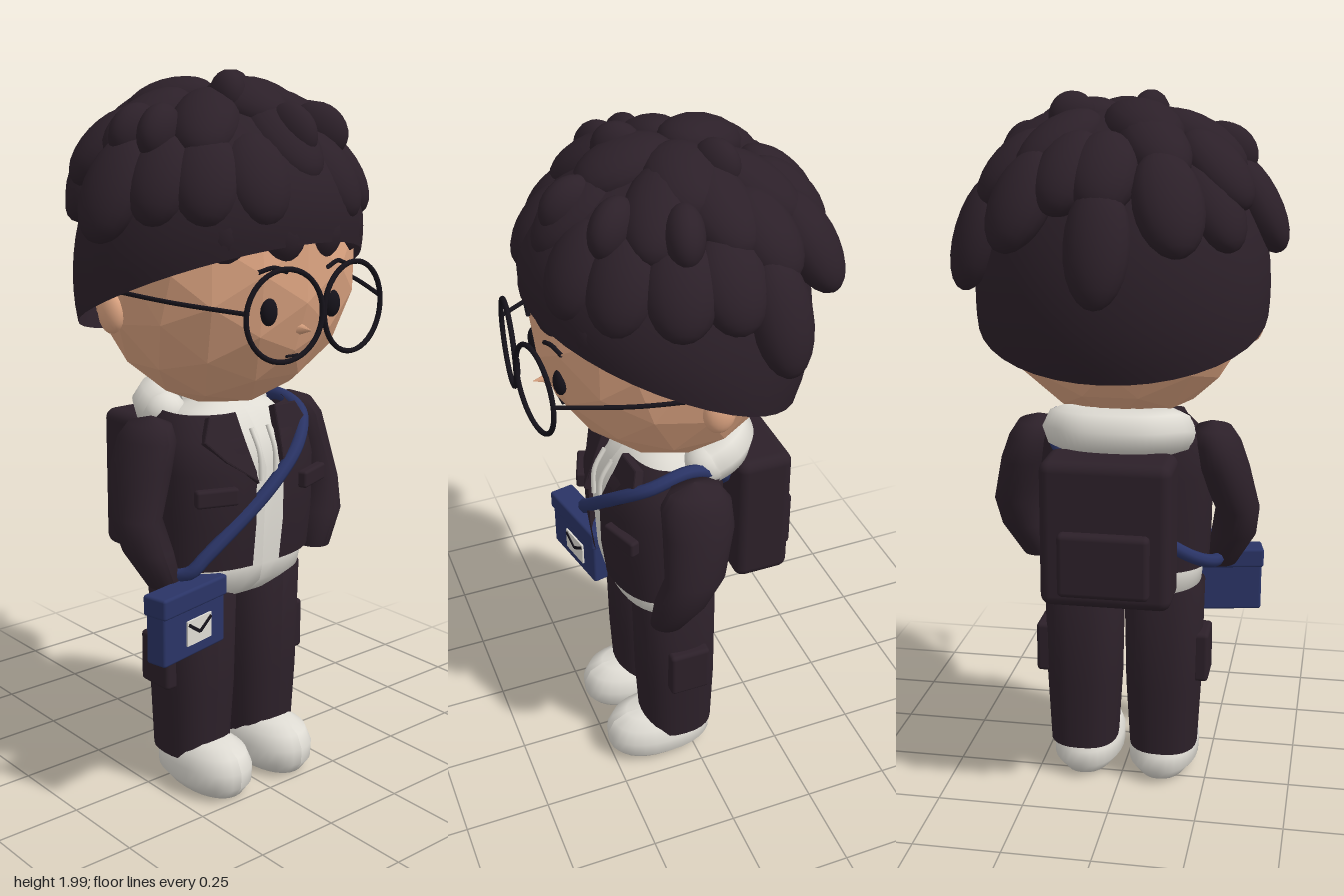
import * as THREE from 'three';
import { RoundedBoxGeometry } from 'three/addons/geometries/RoundedBoxGeometry.js';

const mat = (name, color, side = THREE.FrontSide) => {
  const m = new THREE.MeshStandardMaterial({ color, side });
  m.name = name;
  return m;
};

export function createModel() {
  const root = new THREE.Group();
  const dark = mat('dark plum', 0x2c2029, THREE.DoubleSide);
  const skin = mat('skin', 0xdea582);
  const white = mat('off white', 0xdedbd3, THREE.DoubleSide);
  const blue = mat('navy blue', 0x2a3466);
  const black = mat('black', 0x15121a, THREE.DoubleSide);

  const add = (name, geo, material, x = 0, y = 0, z = 0, parent = root) => {
    const m = new THREE.Mesh(geo, material);
    m.name = name;
    m.position.set(x, y, z);
    parent.add(m);
    return m;
  };
  const ball = (name, material, x, y, z, rx, ry, rz) => {
    const m = add(name, new THREE.SphereGeometry(1, 18, 12), material, x, y, z);
    m.scale.set(rx, ry, rz);
    return m;
  };
  const box = (w, h, d, r = 0.012) => new RoundedBoxGeometry(w, h, d, 3, r);
  const tube = (pts, r, closed = false, n = 32) => new THREE.TubeGeometry(
    new THREE.CatmullRomCurve3(pts.map(p => new THREE.Vector3(...p)), closed), n, r, 8, closed);

  // Skin over horizontal rings [x, y, z, rx, rz, frontGap], listed upwards
  const loft = (rings, power = 2, n = 28) => {
    const pos = [], idx = [];
    const sp = v => Math.sign(v) * Math.abs(v) ** (2 / power);
    rings.forEach(([x, y, z, rx, rz, gap = 0], i) => {
      for (let j = 0; j <= n; j++) {
        const a = gap + (j / n) * (2 * Math.PI - 2 * gap);
        pos.push(x + rx * sp(Math.sin(a)), y, z + rz * sp(Math.cos(a)));
        if (i && j) {
          const d = i * (n + 1) + j, b = d - n - 1;
          idx.push(b - 1, b, d, b - 1, d, d - 1);
        }
      }
    });
    const g = new THREE.BufferGeometry();
    g.setAttribute('position', new THREE.Float32BufferAttribute(pos, 3));
    g.setIndex(idx);
    g.computeVertexNormals();
    return g;
  };

  // Faceted head
  const headGeo = new THREE.IcosahedronGeometry(1, 2);
  headGeo.scale(0.375, 0.4, 0.345);
  headGeo.computeVertexNormals();
  add('head', headGeo, skin, 0, 1.5, 0.032);

  // Hair cap with a rim that drops towards the back
  const capGeo = new THREE.SphereGeometry(1, 40, 20, 0, Math.PI * 2, 0, Math.acos(-0.15));
  const cp = capGeo.attributes.position;
  for (let i = 0; i < cp.count; i++) {
    const t = (cp.getY(i) + 0.15) / 1.15;
    let z = cp.getZ(i) * 0.395;
    if (z < 0) z *= 1 - 0.19 * (1 - t) ** 2.5;
    cp.setXYZ(i, cp.getX(i) * 0.405, (1.405 + 0.43 * z) * (1 - t) + 1.95 * t, z);
  }
  capGeo.computeVertexNormals();
  add('hairCap', capGeo, dark);

  // Rows of hair tufts: elevation, half length, half width, outward shift, then the azimuths
  const hair = new THREE.Group();
  hair.name = 'hairTufts';
  root.add(hair);
  const tuftGeo = new THREE.SphereGeometry(1, 18, 12);
  const tuftRow = (el, len, wid, out, ...azimuths) => {
    const e = THREE.MathUtils.degToRad(el);
    for (const az of azimuths) {
      const a = THREE.MathUtils.degToRad(az);
      const n = new THREE.Vector3(Math.sin(a) * Math.cos(e), Math.sin(e), Math.cos(a) * Math.cos(e));
      const m = add('tuft', tuftGeo, dark, n.x * (0.38 + out), 1.53 + n.y * (0.4 + out), n.z * (0.365 + out), hair);
      m.lookAt(n.x * 2, 1.53 + n.y * 2, n.z * 2);
      m.rotateX(-0.08);
      m.scale.set(wid, len, 0.066);
    }
  };
  tuftRow(14, 0.1, 0.075, -0.03, -35, -10, 12, 35);
  tuftRow(30, 0.13, 0.092, 0, -62, -42, -20, 25, 47, 72, 94);
  tuftRow(25, 0.15, 0.1, 0.015, -84);
  tuftRow(14, 0.16, 0.085, 0.02, 112, 180);
  tuftRow(28, 0.145, 0.093, 0.025, 144, 208);
  tuftRow(30, 0.14, 0.09, -0.02, 236);
  tuftRow(41, 0.13, 0.09, 0.01, 118, 162, 180, 245);
  tuftRow(46, 0.14, 0.095, 0, 3);
  tuftRow(56, 0.14, 0.09, 0, -95, -45, 60, 100, 140, 212);
  tuftRow(70, 0.13, 0.1, 0, 0, 80, 215);
  tuftRow(46, 0.08, 0.05, 0.035, -85, -68, 5, 38, 74);
  tuftRow(70, 0.065, 0.048, 0.025, -25, 120);

  // Face
  const nose = add('nose', new THREE.ConeGeometry(0.016, 0.045, 6), skin, 0, 1.35, 0.365);
  nose.rotation.x = Math.PI / 2;
  add('mouth', box(0.042, 0.008, 0.02, 0.003), black, 0, 1.275, 0.308);
  add('glassesBridge', box(0.014, 0.05, 0.014, 0.004), black, 0, 1.405, 0.425);

  for (const s of [1, -1]) {
    const side = s > 0 ? 'left' : 'right';
    ball(side + 'Eye', black, s * 0.11, 1.405, 0.345, 0.025, 0.036, 0.018);
    add(side + 'Eyebrow', tube([[s * 0.07, 1.505, 0.368], [s * 0.11, 1.518, 0.362], [s * 0.15, 1.508, 0.348]], 0.006), black);
    ball(side + 'Ear', skin, s * 0.36, 1.39, 0.015, 0.03, 0.058, 0.043);
    const ring = add(side + 'GlassesRim', new THREE.TorusGeometry(0.116, 0.007, 8, 40), black, s * 0.118, 1.405, 0.414);
    ring.rotation.y = s * 0.12;
    add(side + 'GlassesTemple', tube([[s * 0.233, 1.42, 0.4], [s * 0.322, 1.435, 0.22], [s * 0.384, 1.452, 0.04]], 0.006), black);

    // Limbs
    add(side + 'Arm', loft([
      [s * 0.275, 0.635, 0.12, 0, 0], [s * 0.275, 0.65, 0.12, 0.045, 0.05], [s * 0.312, 0.75, 0.095, 0.065, 0.075],
      [s * 0.325, 0.84, 0.06, 0.063, 0.085], [s * 0.285, 0.97, 0.035, 0.073, 0.1],
      [s * 0.265, 1.04, 0.035, 0.068, 0.098], [s * 0.255, 1.08, 0.035, 0.052, 0.07], [s * 0.25, 1.1, 0.035, 0, 0],
    ]), dark);
    add(side + 'TrouserLeg', loft([
      [s * 0.12, 0.1, 0.04, 0.1, 0.108], [s * 0.119, 0.3, 0.042, 0.111, 0.116],
      [s * 0.119, 0.61, 0.045, 0.117, 0.118], [s * 0.12, 0.66, 0.045, 0, 0],
    ], 2.4), dark);
    add(side + 'CargoPocket', box(0.045, 0.15, 0.12), dark, s * 0.233, 0.395, 0.04);
    add(side + 'Shoe', loft([
      [s * 0.115, 0, 0.095, 0, 0], [s * 0.115, 0.005, 0.095, 0.075, 0.135], [s * 0.115, 0.04, 0.093, 0.103, 0.162],
      [s * 0.115, 0.085, 0.095, 0.104, 0.162], [s * 0.115, 0.125, 0.1, 0.088, 0.138],
      [s * 0.115, 0.147, 0.105, 0.055, 0.09], [s * 0.115, 0.153, 0.105, 0, 0],
    ], 2.2), white);

    // Jacket details
    const lapel = new THREE.Shape([[0.05, 0], [0.13, 0.07], [0.18, 0.13], [0.15, 0.19], [0.072, 0.19]]
      .map(([x, y]) => new THREE.Vector2(s * x, y)));
    const l = add(side + 'Lapel', new THREE.ExtrudeGeometry(lapel, { depth: 0.018, bevelSize: 0.005, bevelThickness: 0.005, bevelSegments: 2 }), dark, 0, 0.922, 0.232);
    l.rotation.set(-0.38, s * 0.12, 0);
    const flap = add(side + 'ChestPocketFlap', box(0.12, 0.048, 0.03, 0.008), dark, s * 0.172, 0.897, 0.215);
    flap.rotation.y = s * 0.35;
    add(side + 'Drawstring', tube([[s * 0.03, 1.06, 0.19], [s * 0.028, 1.0, 0.222], [s * 0.025, 0.92, 0.228]], 0.007), white);
  }

  // Hoodie, hood and jacket
  add('hoodie', loft([
    [0, 0.565, 0.04, 0, 0], [0, 0.575, 0.04, 0.17, 0.11], [0, 0.62, 0.045, 0.225, 0.15], [0, 0.67, 0.05, 0.23, 0.157],
    [0, 0.95, 0.055, 0.232, 0.165], [0, 1.04, 0.045, 0.2, 0.138], [0, 1.1, 0.03, 0.14, 0.1], [0, 1.14, 0.03, 0, 0],
  ], 2.5, 40), white);
  add('jacket', loft([
    [0, 0.68, 0.055, 0.245, 0.167, 0.13], [0, 0.8, 0.06, 0.25, 0.176, 0.13], [0, 0.95, 0.06, 0.25, 0.177, 0.13],
    [0, 1.04, 0.048, 0.24, 0.158, 0.2], [0, 1.1, 0.03, 0.19, 0.125, 0.3],
  ], 2.5, 40), dark);
  add('hood', tube([[0.15, 1.08, -0.04], [0.14, 1.095, -0.09], [0.08, 1.1, -0.14], [-0.08, 1.1, -0.14],
    [-0.14, 1.095, -0.09], [-0.15, 1.08, -0.04]], 0.066), white);
  for (const s of [1, -1]) ball('hoodEnd', white, s * 0.15, 1.08, -0.04, 0.062, 0.06, 0.064);

  // Backpack
  add('backpack', box(0.36, 0.41, 0.165, 0.03), dark, 0, 0.845, -0.213);
  add('backpackPocket', box(0.25, 0.18, 0.05, 0.015), dark, 0, 0.77, -0.3);

  // Crossbody bag and its strap
  add('bagStrap', tube([[-0.24, 0.69, 0.18], [-0.2, 0.735, 0.205], [0, 0.9, 0.238], [0.12, 1.0, 0.215], [0.195, 1.065, 0.14],
    [0.2, 1.095, 0.03], [0.17, 1.04, -0.08], [0, 0.88, -0.115], [-0.2, 0.74, -0.088], [-0.27, 0.68, 0.05]], 0.019, true, 90), blue);
  const bag = new THREE.Group();
  bag.name = 'shoulderBag';
  bag.position.set(-0.262, 0.575, 0.196);
  bag.rotation.y = 0.2;
  root.add(bag);
  add('bagBody', box(0.25, 0.185, 0.065, 0.008), blue, 0, -0.005, 0, bag);
  add('bagFlap', box(0.26, 0.058, 0.078, 0.008), blue, 0, 0.066, 0, bag);
  add('bagPatch', new THREE.BoxGeometry(0.1, 0.07, 0.008), white, 0.012, -0.027, 0.034, bag);
  for (const s of [1, -1]) {
    const line = add('patchFold', new THREE.BoxGeometry(0.055, 0.009, 0.004), black, 0.012 + s * 0.023, -0.017, 0.039, bag);
    line.rotation.z = s * 0.6;
  }
  return root;
}
